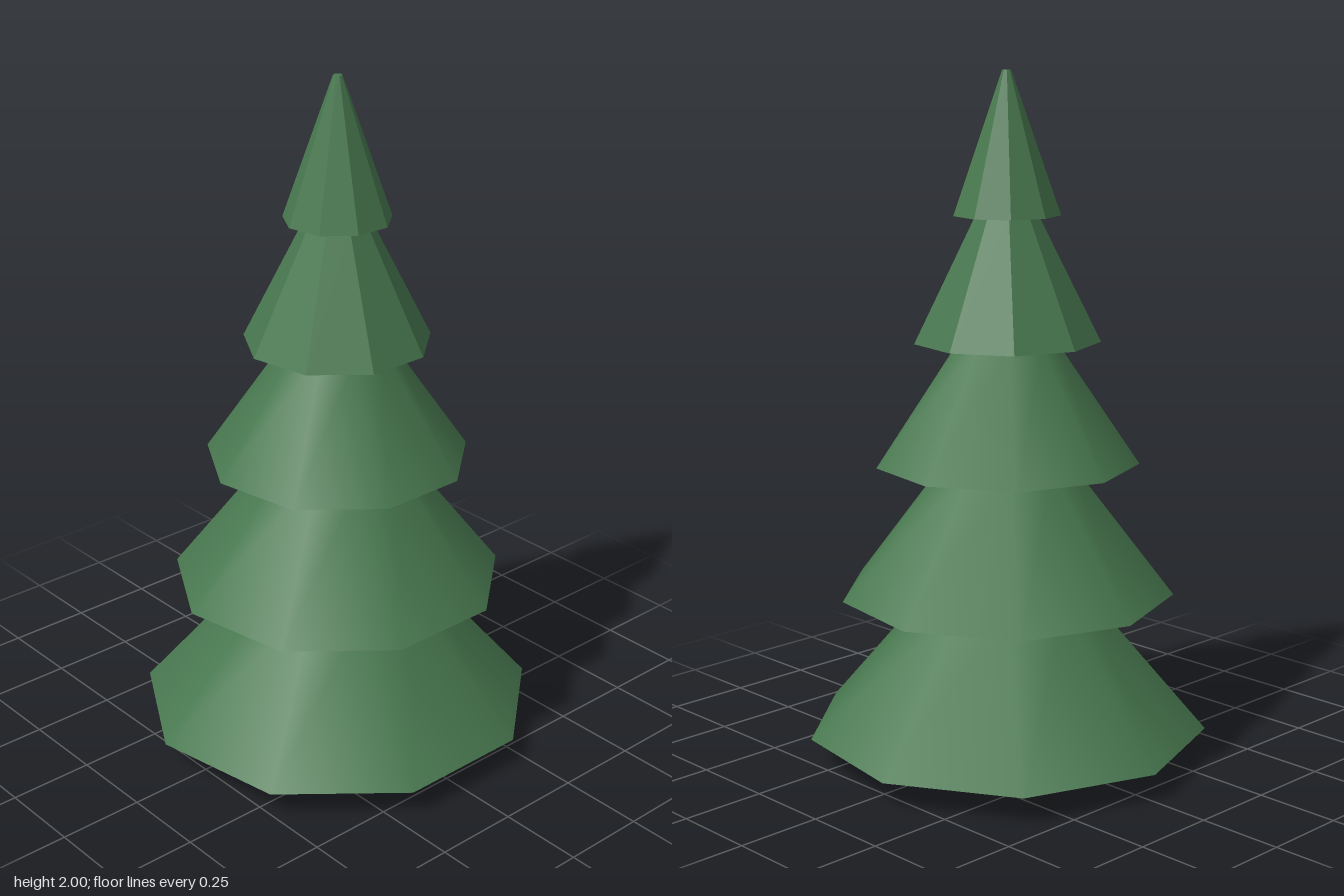
import * as THREE from 'three';

const SIDES = 9;

export function createModel() {
  const tree = new THREE.Group();
  tree.name = 'pineTree';

  const makeGreen = (name, flat) => {
    const m = new THREE.MeshStandardMaterial({ color: 0x48784f, flatShading: flat });
    m.name = name;
    return m;
  };
  const smoothGreen = makeGreen('needleGreen', false);
  const facetGreen = makeGreen('needleGreenFaceted', true);
  const brown = new THREE.MeshStandardMaterial({ color: 0x80604a, flatShading: true });
  brown.name = 'barkBrown';

  // Nine-sided frustum with one corner pointing to the back
  const frustum = (name, y0, y1, r0, r1, material) => {
    const geometry = new THREE.CylinderGeometry(r1, r0, y1 - y0, SIDES, 1, false, Math.PI);
    geometry.translate(0, (y0 + y1) / 2, 0);
    const mesh = new THREE.Mesh(geometry, material);
    mesh.name = name;
    tree.add(mesh);
  };

  frustum('trunk', 0, 0.12, 0.05, 0.05, brown);

  // Branch tiers: bottom y, top y, bottom radius, top radius
  // The wide tiers are shaded smoothly, the two steep ones are faceted
  const tiers = [
    [0.08, 0.492, 0.589, 0.233, smoothGreen],
    [0.49, 0.882, 0.489, 0.185, smoothGreen],
    [0.88, 1.237, 0.385, 0.142, smoothGreen],
    [1.235, 1.597, 0.271, 0.09, facetGreen],
    [1.595, 2, 0.155, 0.013, facetGreen],
  ];
  tiers.forEach((tier, i) => frustum(`branchTier${i + 1}`, ...tier));

  // Centre the odd-sided outline in depth
  tree.children.forEach((mesh) => { mesh.position.z = 0.017; });
  return tree;
}
